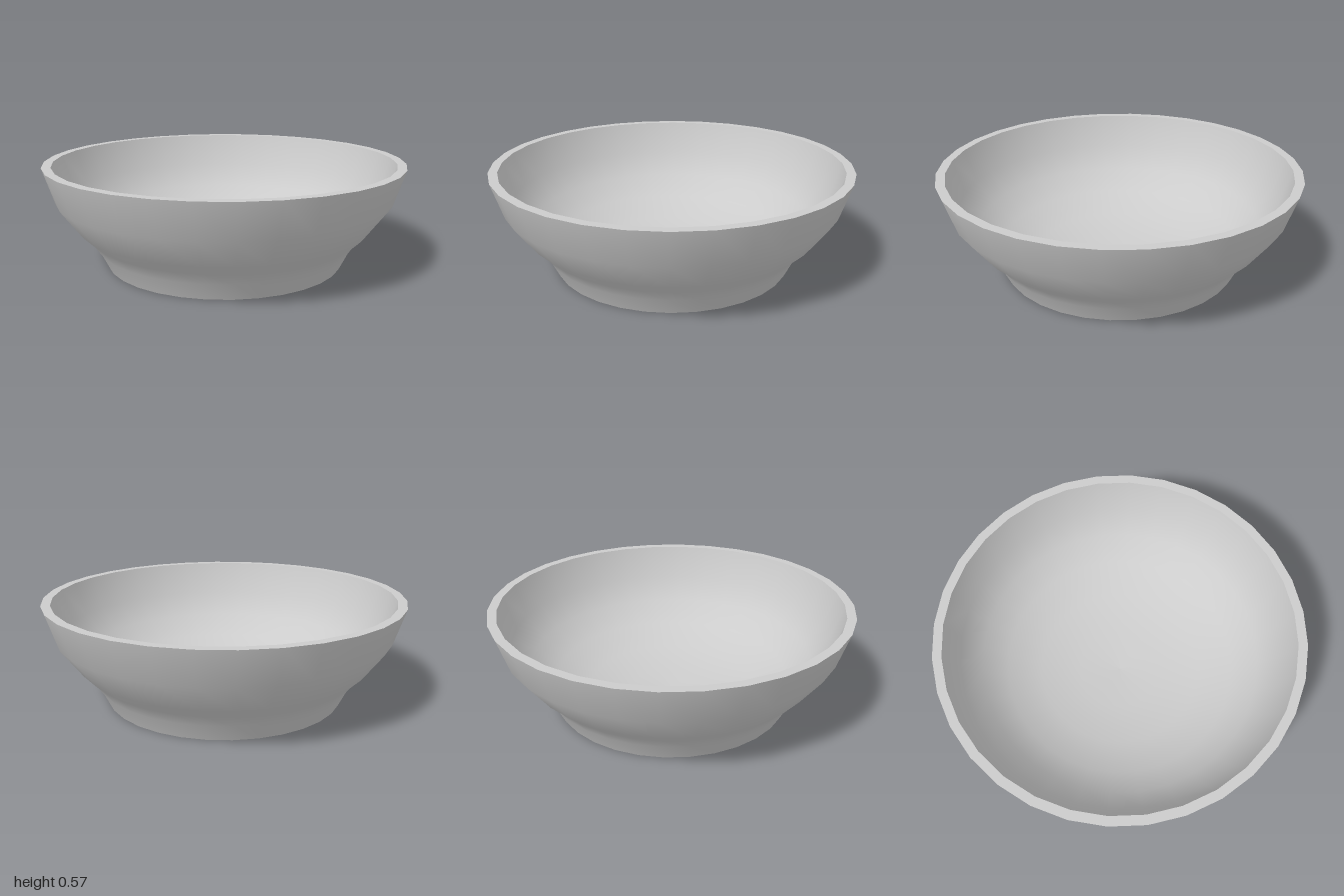
import * as THREE from 'three';

const SIDES = 32;

// Each profile runs base -> outside -> rim -> inside, so faces point outward.
// Separate lathes keep the rim and base edges sharp and the walls smooth.
const PROFILES = {
  base: [[0, 0], [0.667, 0]],
  outerWall: [[0.667, 0], [0.714, 0.096], [0.76, 0.162], [0.82, 0.22], [0.935, 0.375], [1, 0.575]],
  rim: [[1, 0.575], [0.95, 0.575]],
  innerBowl: [[0.95, 0.575], [0.89, 0.385], [0.79, 0.255], [0.66, 0.145], [0.47, 0.065], [0.24, 0.022], [0, 0.01]],
};

export function createModel() {
  const bowl = new THREE.Group();
  bowl.name = 'bowl';
  const material = new THREE.MeshStandardMaterial({ color: 0xcccccc });

  for (const [name, profile] of Object.entries(PROFILES)) {
    const points = profile.map(([r, y]) => new THREE.Vector2(r, y));
    const mesh = new THREE.Mesh(new THREE.LatheGeometry(points, SIDES), material);
    mesh.name = name;
    bowl.add(mesh);
  }
  return bowl;
}
